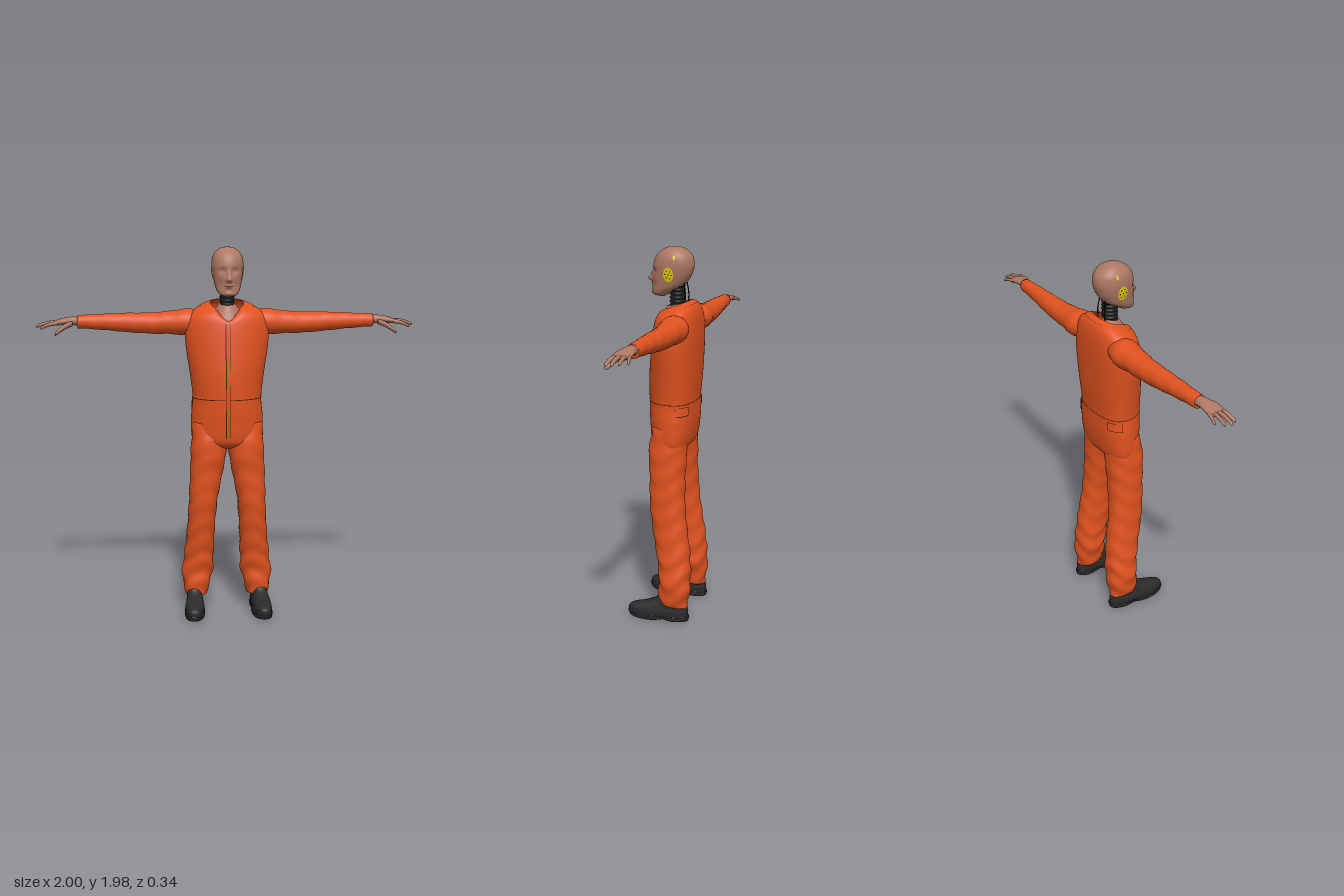
import * as THREE from 'three';

const mat = (name, color, side = THREE.FrontSide) => {
  const m = new THREE.MeshStandardMaterial({ color, side });
  m.name = name;
  return m;
};

// Catmull-Rom blend through rows of section parameters, u in 0..1
function rowAt(rows, u) {
  const n = rows.length - 1, f = Math.min(Math.max(u, 0), 1) * n;
  const i = Math.min(Math.floor(f), n - 1), t = f - i;
  const r = k => rows[Math.min(Math.max(k, 0), n)];
  const [a, b, c, d] = [r(i - 1), r(i), r(i + 1), r(i + 2)];
  return b.map((_, k) => 0.5 * (2 * b[k] + (c[k] - a[k]) * t
    + (2 * a[k] - 5 * b[k] + 4 * c[k] - d[k]) * t * t
    + (3 * b[k] - a[k] - 3 * c[k] + d[k]) * t * t * t));
}

// u at which the first row value (height) reaches y
function uAt(rows, y) {
  let lo = 0, hi = 1;
  for (let i = 0; i < 30; i++) {
    const m = (lo + hi) / 2;
    if (rowAt(rows, m)[0] < y) lo = m; else hi = m;
  }
  return lo;
}

const power = (v, e) => Math.sign(v) * Math.abs(v) ** e;

// Closed skin over rings point(u, angle)
function loft(point, nu, na, capStart = true, capEnd = true) {
  const pos = [], idx = [];
  for (let i = 0; i <= nu; i++)
    for (let j = 0; j < na; j++) pos.push(...point(i / nu, (j / na) * Math.PI * 2));
  for (let i = 0; i < nu; i++)
    for (let j = 0; j < na; j++) {
      const k = (j + 1) % na, a = i * na + j, b = i * na + k;
      idx.push(a, a + na, b, b, a + na, b + na);
    }
  const cap = (row, flip) => {
    const c = [0, 0, 0], id = pos.length / 3;
    for (let j = 0; j < na; j++) for (let k = 0; k < 3; k++) c[k] += pos[(row * na + j) * 3 + k] / na;
    pos.push(...c);
    for (let j = 0; j < na; j++) {
      const a = row * na + j, b = row * na + (j + 1) % na;
      idx.push(id, flip ? b : a, flip ? a : b);
    }
  };
  if (capStart) cap(0, false);
  if (capEnd) cap(nu, true);
  return build(pos, idx);
}

function build(pos, idx) {
  const g = new THREE.BufferGeometry();
  g.setAttribute('position', new THREE.Float32BufferAttribute(pos, 3));
  g.setIndex(idx);
  g.computeVertexNormals();
  return g;
}

// Thin open piece of cloth lying on a surface
function patch(point, u0, u1, a0, a1, nu = 12, na = 4) {
  const pos = [], idx = [];
  for (let i = 0; i <= nu; i++)
    for (let j = 0; j <= na; j++) pos.push(...point(u0 + (u1 - u0) * i / nu, a0 + (a1 - a0) * j / na));
  for (let i = 0; i < nu; i++)
    for (let j = 0; j < na; j++) {
      const a = i * (na + 1) + j, b = a + na + 1;
      idx.push(a, b, a + 1, a + 1, b, b + 1);
    }
  return build(pos, idx);
}

function mirrored(geo) {
  const g = geo.clone().scale(-1, 1, 1), ix = g.index.array;
  for (let i = 0; i < ix.length; i += 3) [ix[i], ix[i + 1]] = [ix[i + 1], ix[i]];
  return g;
}

// Limb along x from rows [x, y, half height, z, half depth]
const limb = (rows, nu, na, fold = 0) => loft((u, a) => {
  const [x, y, h, z, d] = rowAt(rows, u);
  const f = fold * Math.sin(60 * x + 2 * Math.sin(a + 1));
  return [x, y + (h + f) * Math.cos(a), z - (d + f) * Math.sin(a)];
}, nu, na);

// Torso rows: y, half width, front z, back z, tilt, neckline drop
const TORSO = [
  [0.92, 0.12, 0.03, -0.09, 0, 0], [0.96, 0.185, 0.08, -0.13, 0, 0], [1.08, 0.192, 0.094, -0.15, 0, 0],
  [1.19, 0.184, 0.098, -0.152, 0, 0], [1.32, 0.198, 0.097, -0.162, 0, 0], [1.44, 0.216, 0.085, -0.166, 0, 0],
  [1.53, 0.222, 0.074, -0.167, 0, 0], [1.6, 0.212, 0.064, -0.163, -0.05, 0.012],
  [1.64, 0.185, 0.054, -0.154, -0.15, 0.03], [1.665, 0.14, 0.044, -0.136, -0.25, 0.05],
  [1.683, 0.088, 0.032, -0.106, -0.35, 0.065]];
const torso = (off = 0) => (u, a) => {
  const [y, w, zf, zb, tilt, drop] = rowAt(TORSO, u), c = Math.cos(a), s = Math.sin(a), zc = -0.055;
  const x = (w + off) * (s > 0 ? c : power(c, 0.8));
  const z = zc + (s > 0 ? (zf + off - zc) * s : (zc - zb + off) * power(s, 0.8));
  const v = s > 0 ? drop * Math.max(0, 1 - Math.abs(x) / 0.07) : 0;
  return [x, y + tilt * (z + 0.04) - v, z];
};

// Leg rows: y, centre x, half width, front z, back z
const LEG = [
  [0.085, 0.168, 0.058, 0.0, -0.155], [0.13, 0.168, 0.066, 0.003, -0.16], [0.19, 0.165, 0.082, 0.0, -0.166],
  [0.25, 0.158, 0.083, 0.002, -0.166], [0.37, 0.149, 0.077, 0.02, -0.16], [0.5, 0.14, 0.075, 0.043, -0.142],
  [0.64, 0.13, 0.077, 0.062, -0.126], [0.8, 0.112, 0.089, 0.068, -0.12], [0.93, 0.099, 0.096, 0.076, -0.124],
  [1.06, 0.1, 0.085, 0.05, -0.11]];
const legPoint = (u, a) => {
  const [y, cx, w, zf, zb] = rowAt(LEG, u), zc = (zf + zb) / 2, d = (zf - zb) / 2;
  const f = (y < 0.35 ? 0.004 : 0.002) * Math.sin(55 * y + 2 * Math.sin(a * 2 + 1));
  const z = zc + (d + f) * power(Math.sin(a), 0.9);
  return [cx + (w + f) * power(Math.cos(a), 0.9), y + Math.max(0, 0.2 - y) * 1.3 * (z + 0.08), z];
};

// Shoe rows: y, half width, front z, back z
const SHOE = [
  [0.0, 0.054, 0.165, -0.162], [0.022, 0.057, 0.173, -0.166], [0.026, 0.052, 0.168, -0.16],
  [0.05, 0.053, 0.165, -0.16], [0.07, 0.049, 0.135, -0.156], [0.095, 0.046, 0.06, -0.15],
  [0.125, 0.045, 0.005, -0.145], [0.17, 0.045, -0.015, -0.14]];
const shoePoint = (u, a) => {
  const [y, w, zf, zb] = rowAt(SHOE, u), zc = (zf + zb) / 2;
  const z = zc + (zf - zb) / 2 * power(Math.sin(a), 0.85);
  const waist = 1 - 0.12 * Math.exp(-(((z + 0.04) / 0.05) ** 2));
  const arch = y < 0.02 ? 0.01 * Math.exp(-(((z + 0.03) / 0.03) ** 2)) : 0;
  return [0.181 + 0.05 * z + w * waist * power(Math.cos(a), 0.8), y + arch + Math.max(0, z - 0.1) * 0.12, z];
};

// Head rows: y, half width, front z, back z
const HEAD = [
  [1.724, 0.012, 0.06, 0.025], [1.735, 0.043, 0.086, 0.005], [1.755, 0.058, 0.088, -0.03],
  [1.78, 0.067, 0.087, -0.075], [1.815, 0.074, 0.087, -0.105], [1.85, 0.08, 0.083, -0.122],
  [1.89, 0.083, 0.082, -0.13], [1.93, 0.077, 0.068, -0.121], [1.96, 0.057, 0.038, -0.094],
  [1.975, 0.031, 0.006, -0.064], [1.98, 0.003, -0.027, -0.033]];
const bump = (x, y, cx, cy, rx, ry) => Math.exp(-(((x - cx) / rx) ** 2) - ((y - cy) / ry) ** 2);
const headPoint = (u, a) => {
  const [y, w, zf, zb] = rowAt(HEAD, u), zc = (zf + zb) / 2, s = Math.sin(a);
  const x = w * power(Math.cos(a), 0.92);
  let z = zc + (zf - zb) / 2 * power(s, 0.92);
  if (s > 0) {
    const ax = Math.abs(x);
    z += 0.026 * bump(x, y, 0, 1.812, 0.014, 0.014) + 0.013 * bump(x, y, 0, 1.84, 0.01, 0.022)
      - 0.012 * bump(ax, y, 0.032, 1.858, 0.018, 0.013) + 0.005 * bump(ax, y, 0.03, 1.857, 0.011, 0.007)
      + 0.008 * bump(x, y, 0, 1.78, 0.02, 0.012) - 0.008 * bump(x, y, 0, 1.777, 0.022, 0.003)
      - 0.005 * bump(ax, y, 0.045, 1.79, 0.016, 0.025) + 0.005 * bump(x, y, 0, 1.742, 0.018, 0.012);
  }
  return [x, y, z];
};

// Oval marker pressed onto the side of the head
function marker(y0, z0, ry, rz, off) {
  const g = new THREE.RingGeometry(0.001, 1, 24, 3), p = g.attributes.position;
  for (let i = 0; i < p.count; i++) {
    const y = y0 + p.getY(i) * ry, z = z0 - p.getX(i) * rz;
    const [, w, zf, zb] = rowAt(HEAD, uAt(HEAD, y));
    const q = Math.abs(z - (zf + zb) / 2) / ((zf - zb) / 2), n = 2 / 0.92;
    p.setXYZ(i, w * (1 - q ** n) ** (1 / n) + off, y, z);
  }
  g.computeVertexNormals();
  return g;
}

export function createModel() {
  const model = new THREE.Group();
  const orange = mat('overall orange', 0xe0521f, THREE.DoubleSide), seam = mat('seam dark', 0x40180c, THREE.DoubleSide);
  const skin = mat('skin', 0xad7763), black = mat('neck black', 0x19191b), boot = mat('shoe black', 0x2b2b2c);
  const yellow = mat('marker yellow', 0xe3cb10, THREE.DoubleSide);
  const add = (name, geo, m) => {
    const mesh = new THREE.Mesh(geo, m);
    mesh.name = name;
    model.add(mesh);
  };
  const pair = (name, geo, m) => { add(name + 'Left', geo, m); add(name + 'Right', mirrored(geo), m); };

  // Overall: body, legs and sleeves
  add('torso', loft(torso(), 80, 72, true, false), orange);
  pair('trouserLeg', loft(legPoint, 80, 40), orange);
  pair('sleeve', limb([[0.12, 1.59, 0.05, -0.08, 0.06], [0.2, 1.587, 0.07, -0.087, 0.078],
    [0.3, 1.584, 0.061, -0.088, 0.066], [0.4, 1.581, 0.056, -0.09, 0.058], [0.5, 1.584, 0.052, -0.09, 0.051],
    [0.65, 1.589, 0.042, -0.086, 0.041], [0.785, 1.591, 0.034, -0.083, 0.033]], 60, 32, 0.001), orange);

  // Zip, waist seam, collar and hip pocket flaps
  const onTorso = (name, y0, y1, a0, a1, off, m, na = 4) =>
    add(name, patch(torso(off), uAt(TORSO, y0), uAt(TORSO, y1), a0, a1, 24, na), m);
  const front = Math.PI / 2;
  onTorso('zipPlacket', 0.985, 1.6, front - 0.03, front + 0.1, 0.003, orange);
  onTorso('zipLine', 0.985, 1.6, front + 0.06, front + 0.085, 0.005, seam);
  onTorso('zipEdge', 0.99, 1.6, front - 0.035, front - 0.023, 0.004, seam);
  onTorso('waistSeam', 1.187, 1.191, 0, Math.PI * 2, 0.002, seam, 72);
  onTorso('collar', 1.667, 1.683, front + 0.4, front + Math.PI * 2 - 0.4, 0.006, orange, 60);
  for (const s of [1, -1]) {
    const a = s > 0 ? -0.95 : Math.PI + 0.25, b = s > 0 ? -0.25 : Math.PI + 0.95;
    onTorso('pocketFlapSeam', 1.127, 1.175, a - 0.01, b + 0.01, 0.004, seam, 12);
    onTorso('pocketFlap', 1.132, 1.177, a, b, 0.007, orange, 12);
  }

  // Bare chest inside the neckline
  const CHEST = [[1.56, 0.12, 0.06], [1.61, 0.095, 0.078], [1.65, 0.068, 0.06], [1.685, 0.042, 0.042]];
  add('chest', loft((u, a) => {
    const [y, w, d] = rowAt(CHEST, u), z = -0.04 + d * Math.sin(a) * (Math.sin(a) > 0 ? 1.2 : 0.9);
    return [w * Math.cos(a), y - 0.2 * (z + 0.04), z];
  }, 16, 40), skin);

  // Ribbed neck with cables behind
  const profile = [new THREE.Vector2(0.001, 1.64)];
  for (let i = 0; i <= 28; i++) profile.push(new THREE.Vector2(0.038 + 0.004 * Math.cos(i * Math.PI / 2), 1.64 + i * 0.005));
  profile.push(new THREE.Vector2(0.001, 1.78));
  add('neck', new THREE.LatheGeometry(profile, 32).translate(0, 0, -0.043), black);
  pair('neckCable', new THREE.TubeGeometry(new THREE.CatmullRomCurve3([
    new THREE.Vector3(0.025, 1.8, -0.085), new THREE.Vector3(0.03, 1.74, -0.094),
    new THREE.Vector3(0.03, 1.67, -0.09)]), 12, 0.003, 6), black);

  // Head and side markers
  add('head', loft(headPoint, 120, 96), skin);
  pair('sideMarker', marker(1.842, -0.018, 0.037, 0.027, 0.003), yellow);
  pair('upperMarker', marker(1.928, -0.048, 0.012, 0.006, 0.003), yellow);
  [[0, 0], [0.02, 0.008], [0.016, -0.01], [-0.016, 0.009], [-0.02, -0.008], [0.002, 0.017], [-0.002, -0.017]]
    .forEach(([y, z]) => pair('markerDot', marker(1.842 + y, -0.018 + z, 0.0035, 0.0035, 0.005), black));

  // Hands: palm, four fingers and a thumb
  pair('palm', limb([[0.76, 1.592, 0.027, -0.083, 0.027], [0.81, 1.597, 0.022, -0.078, 0.032],
    [0.86, 1.594, 0.018, -0.073, 0.043], [0.9, 1.586, 0.013, -0.073, 0.042], [0.915, 1.584, 0.004, -0.073, 0.034]], 20, 24), skin);
  const finger = (name, a, b, r) => {
    const rows = [[0, 1], [0.4, 1], [0.75, 0.85], [0.94, 0.65], [1, 0.12]].map(([t, k]) => {
      const p = a.map((v, i) => v + (b[i] - v) * t);
      return [p[0], p[1] + 0.008 * Math.sin(t * Math.PI), r * k, p[2], r * k];
    });
    pair(name, limb(rows, 14, 12), skin);
  };
  finger('indexFinger', [0.885, 1.586, -0.044], [0.975, 1.56, -0.025], 0.0105);
  finger('middleFinger', [0.89, 1.588, -0.066], [1.0, 1.568, -0.062], 0.0105);
  finger('ringFinger', [0.885, 1.587, -0.088], [0.99, 1.57, -0.095], 0.01);
  finger('littleFinger', [0.875, 1.585, -0.106], [0.955, 1.568, -0.125], 0.0085);
  finger('thumb', [0.81, 1.585, -0.055], [0.9, 1.53, 0.003], 0.015);

  // Shoes
  pair('shoe', loft(shoePoint, 42, 40), boot);
  return model;
}
